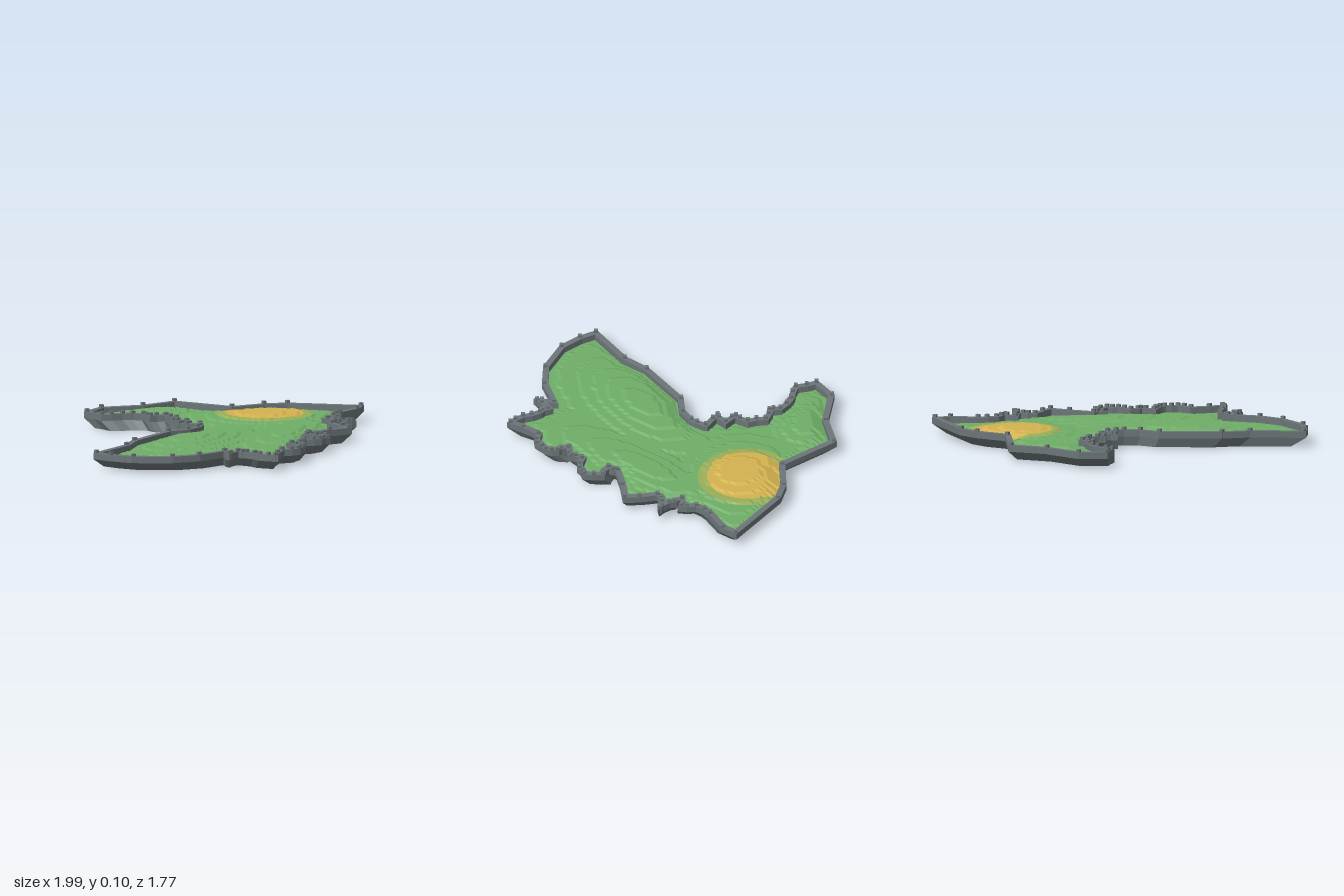
import * as THREE from 'three';

// Coastline as x, z pairs, clockwise seen from above
const CORNERS = [
  [-.38, -.81], [-.245, -.88], [-.02, -.82], [.19, -.84], [.37, -.54], [.56, -.525], [.68, -.48], [.985, -.21],
  [.92, -.145], [.78, -.09], [.705, -.03], [.69, .06], [.63, .04], [.655, .11], [.705, .17], [.63, .15], [.575, .165],
  [.575, .345], [.32, .355], [.29, .395], [.35, .425], [.33, .535], [.27, .555], [.18, .53], [.155, .58], [.075, .59],
  [.095, .64], [.075, .71], [.015, .75], [-.075, .735], [-.195, .87], [-.255, .79], [-.28, .7], [-.31, .655],
  [-.39, .705], [-.37, .615], [-.54, .645], [-.695, .62], [-.875, .51], [-.95, .4], [-.988, .305], [-.725, .18],
  [-.61, .075], [-.31, -.075], [-.19, -.07], [-.11, -.105], [-.055, -.17], [-.14, -.25], [-.075, -.28],
  [-.12, -.345], [-.065, -.4], [-.075, -.495], [-.15, -.52], [-.16, -.585], [-.245, -.65], [-.355, -.69]
].map(([x, z]) => new THREE.Vector2(x, z));

const GROUND = 0.05, WALL_TOP = 0.085, POST_TOP = 0.1, THICK = 0.033, CELL = 0.02, STEP = 0.008;
const PATCH = { x: 0.445, z: -0.33, inner: 0.212, outer: 0.262 };

// Hills: centre x, z, long radius, short radius, heading, height
const HILLS = [
  [-.3, .14, .42, .2, -.46, .04], [.28, .2, .5, .16, -.72, .032],
  [.4, -.3, .3, .27, .4, .042], [-.02, -.72, .24, .15, .5, .034]
];

const inward = (a, b) => new THREE.Vector2(a.y - b.y, b.x - a.x).normalize();

// Moves a closed outline inwards with mitred corners
function offset(outline, distance) {
  const n = outline.length;
  return outline.map((p, i) => {
    const n1 = inward(outline[(i + n - 1) % n], p), n2 = inward(p, outline[(i + 1) % n]);
    const m = n1.clone().add(n2).normalize();
    return p.clone().addScaledVector(m, distance / Math.max(0.6, m.dot(n1)));
  });
}

// Ragged stretches of coast get an extra small kink on each edge
const COAST = [];
offset(CORNERS, -0.008).forEach((p, i, all) => {
  COAST.push(p);
  const next = all[(i + 1) % all.length];
  if ((i > 8 && i < 35) || i > 44) {
    COAST.push(p.clone().lerp(next, 0.5).addScaledVector(inward(p, next), i % 2 ? 0.006 : -0.006));
  }
});
const N = COAST.length;

function shoreDistance(p) {
  let best = Infinity;
  COAST.forEach((a, i) => {
    const ab = COAST[(i + 1) % N].clone().sub(a);
    const t = THREE.MathUtils.clamp(p.clone().sub(a).dot(ab) / ab.lengthSq(), 0, 1);
    best = Math.min(best, a.clone().addScaledVector(ab, t).distanceTo(p));
  });
  return best;
}

function isInside(p) {
  let inside = false;
  COAST.forEach((a, i) => {
    const b = COAST[(i + 1) % N];
    if ((a.y > p.y) !== (b.y > p.y) && p.x < a.x + (b.x - a.x) * (p.y - a.y) / (b.y - a.y)) inside = !inside;
  });
  return inside;
}

// Keeps the part of a polygon on one side of an axis line
function clip(poly, axis, limit, sign) {
  const out = [];
  poly.forEach((a, i) => {
    const b = poly[(i + 1) % poly.length];
    const da = (a[axis] - limit) * sign, db = (b[axis] - limit) * sign;
    if (da >= 0) out.push(a);
    if ((da > 0 && db < 0) || (da < 0 && db > 0)) out.push(a.clone().lerp(b, da / (da - db)));
  });
  return out;
}

// Terraced land point; points near the patch circles are pulled onto them
function landPoint(p) {
  const shore = shoreDistance(p);
  let { x, y: z } = p, h = 0;
  const px = x - PATCH.x, pz = z - PATCH.z, r = Math.hypot(px, pz);
  for (const ring of [PATCH.inner, PATCH.outer]) {
    if (shore > 1e-4 && Math.abs(r - ring) < CELL * 0.5) {
      x = PATCH.x + px * ring / r;
      z = PATCH.z + pz * ring / r;
    }
  }
  for (const [cx, cz, rl, rs, turn, top] of HILLS) {
    const dx = x - cx, dz = z - cz, c = Math.cos(turn), s = Math.sin(turn);
    const u = (dx * c + dz * s) / rl, v = (-dx * s + dz * c) / rs;
    h = Math.max(h, top * Math.exp(-(u * u + v * v) * 0.8));
  }
  h *= Math.min(1, shore / 0.1);
  return new THREE.Vector3(x, GROUND + Math.round(h / STEP) * STEP, z);
}

function meshOf(name, points, material) {
  const geometry = new THREE.BufferGeometry().setFromPoints(points);
  geometry.computeVertexNormals();
  const mesh = new THREE.Mesh(geometry, material);
  mesh.name = name;
  return mesh;
}

const quad = (out, a, b, c, d) => out.push(a, b, c, a, c, d);
const lift = (p, y, s = 1) => new THREE.Vector3(p.x * s, y, p.y * s);

// Grid of land cells, cut off along the coast and sorted by colour
function buildLand(materials) {
  const sets = [[], [], []];
  const addTriangle = (a, b, c) => {
    const r = Math.hypot((a.x + b.x + c.x) / 3 - PATCH.x, (a.z + b.z + c.z) / 3 - PATCH.z);
    const up = (b.z - a.z) * (c.x - a.x) - (b.x - a.x) * (c.z - a.z) > 0;
    sets[r < PATCH.inner ? 2 : r < PATCH.outer ? 1 : 0].push(a, ...(up ? [b, c] : [c, b]));
  };
  for (let i = -51; i < 51; i++) {
    const x0 = i * CELL, x1 = (i + 1) * CELL;
    const column = clip(clip(COAST, 'x', x0, 1), 'x', x1, -1);
    for (let j = -46; j < 46; j++) {
      const z0 = j * CELL, z1 = (j + 1) * CELL;
      const centre = new THREE.Vector2((x0 + x1) / 2, (z0 + z1) / 2);
      let cell = [[x0, z0], [x0, z1], [x1, z1], [x1, z0]].map(([x, z]) => new THREE.Vector2(x, z));
      if (shoreDistance(centre) < CELL * 0.75) cell = clip(clip(column, 'y', z0, 1), 'y', z1, -1);
      else if (!isInside(centre)) continue;
      if (cell.length < 3) continue;
      const points = cell.map(landPoint);
      for (const [a, b, c] of THREE.ShapeUtils.triangulateShape(cell, [])) addTriangle(points[a], points[b], points[c]);
    }
  }
  return ['grassLand', 'patchRim', 'sandPatch'].map((name, k) => meshOf(name, sets[k], materials[k]));
}

export function createModel() {
  const model = new THREE.Group();
  model.name = 'island';
  const paint = (name, color) => {
    const m = new THREE.MeshStandardMaterial({ color, side: THREE.DoubleSide });
    m.name = name;
    return m;
  };
  const stone = paint('stone grey', 0x6c7578);
  const land = [paint('grass green', 0x70ae68), paint('olive', 0x97ae59), paint('sand gold', 0xd4b24f)];
  model.add(...buildLand(land));

  // Border wall and the skirt narrowing to the base
  const innerEdge = offset(COAST, THICK);
  const wall = [], skirt = [];
  COAST.forEach((a, i) => {
    const k = (i + 1) % N, b = COAST[k], qa = innerEdge[i], qb = innerEdge[k];
    quad(wall, lift(a, GROUND), lift(a, WALL_TOP), lift(b, WALL_TOP), lift(b, GROUND));
    quad(wall, lift(qb, GROUND), lift(qb, WALL_TOP), lift(qa, WALL_TOP), lift(qa, GROUND));
    quad(wall, lift(a, WALL_TOP), lift(qa, WALL_TOP), lift(qb, WALL_TOP), lift(b, WALL_TOP));
    quad(skirt, lift(a, 0, 0.92), lift(a, GROUND), lift(b, GROUND), lift(b, 0, 0.92));
  });
  model.add(meshOf('borderWall', wall, stone), meshOf('skirt', skirt, stone));

  // A small post on every corner of the wall
  const posts = new THREE.Group();
  posts.name = 'wallPosts';
  const box = new THREE.BoxGeometry(0.02, POST_TOP - GROUND, 0.02);
  COAST.forEach((p, i) => {
    const post = new THREE.Mesh(box, stone);
    post.name = 'wallPost';
    const c = p.clone().lerp(innerEdge[i], 0.4);
    post.position.set(c.x, (POST_TOP + GROUND) / 2, c.y);
    posts.add(post);
  });
  model.add(posts);
  return model;
}
